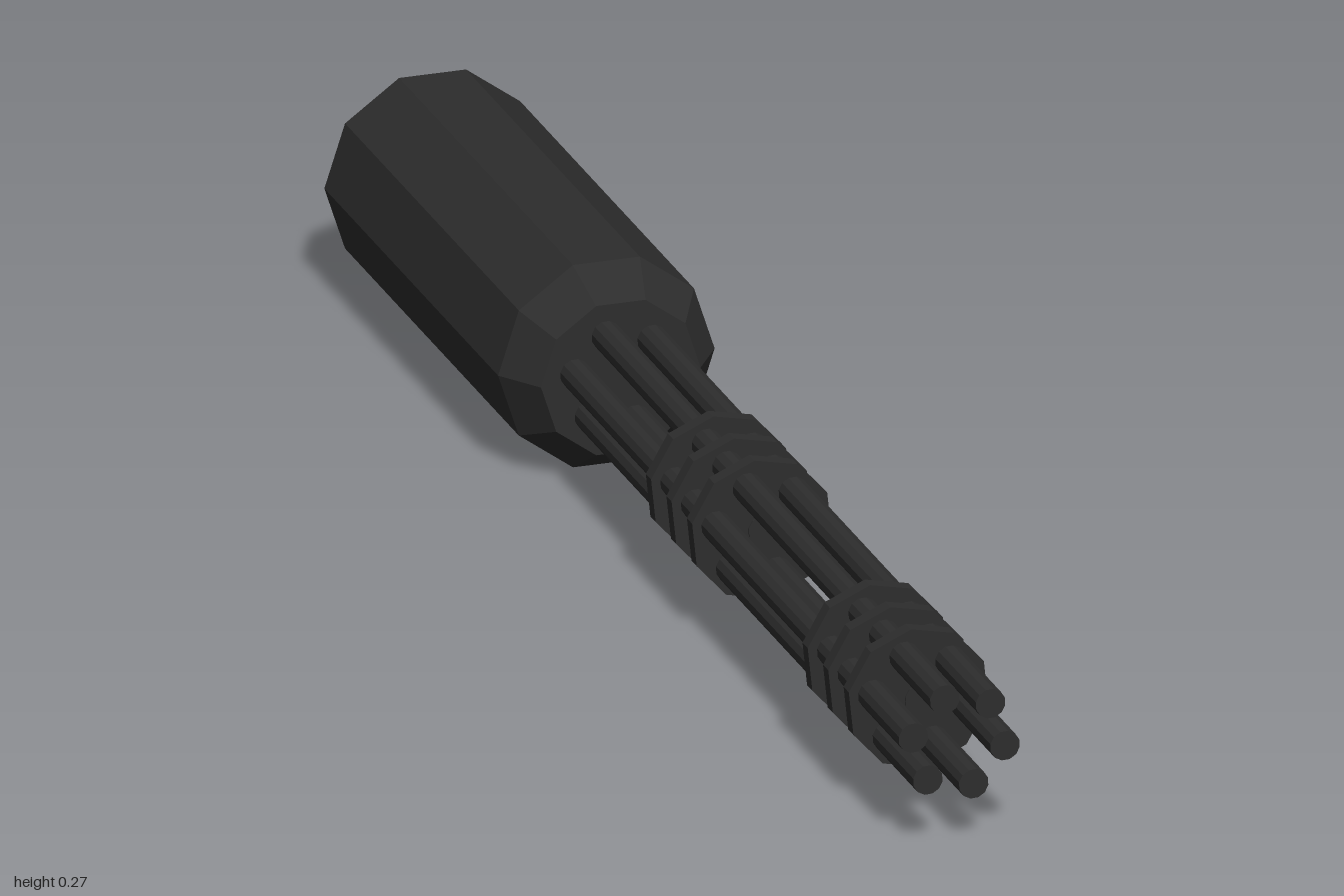
import * as THREE from 'three';

const AXIS_Y = 0.134;              // height of the long axis
const TWIST = -12 * Math.PI / 180; // rotation of the barrel cluster

// Prism along z from z0 to z1, with a corner at the given angle
function rod(name, material, rBack, rFront, z0, z1, sides, angle = 0) {
  const geometry = new THREE.CylinderGeometry(rFront, rBack, z1 - z0, sides);
  geometry.rotateX(Math.PI / 2).rotateZ(Math.PI / 2 + angle);
  const mesh = new THREE.Mesh(geometry.toNonIndexed(), material);
  mesh.geometry.computeVertexNormals(); // faceted sides
  mesh.name = name;
  mesh.position.z = (z0 + z1) / 2;
  return mesh;
}

export function createModel() {
  const model = new THREE.Group();
  model.name = 'rotaryBarrelAssembly';
  const metal = new THREE.MeshStandardMaterial({ color: 0x2d2d2d });
  metal.name = 'dark metal';

  const body = new THREE.Group();
  body.name = 'body';
  body.position.y = AXIS_Y;
  model.add(body);

  // Ten-sided housing with a bevelled front
  body.add(rod('housing', metal, 0.141, 0.141, -1, -0.34, 10));
  body.add(rod('housingBevel', metal, 0.141, 0.104, -0.34, -0.285, 10));

  // Six barrels around the axis
  for (let i = 0; i < 6; i++) {
    const a = TWIST + i * Math.PI / 3;
    const barrel = rod('barrel', metal, 0.0195, 0.0195, -0.3, 1, 12, a);
    barrel.position.x = 0.061 * Math.cos(a);
    barrel.position.y = 0.061 * Math.sin(a);
    body.add(barrel);
  }

  // Two sets of three clamp plates, each joined by a short hub
  for (const z of [0.163, 0.758]) {
    const clamp = new THREE.Group();
    clamp.name = 'barrelClamp';
    for (const dz of [-0.078, 0, 0.078]) {
      clamp.add(rod('clampPlate', metal, 0.093, 0.093, z + dz - 0.01, z + dz + 0.01, 10, TWIST));
    }
    clamp.add(rod('clampHub', metal, 0.0185, 0.0185, z - 0.09, z + 0.09, 10, TWIST));
    body.add(clamp);
  }
  return model;
}
